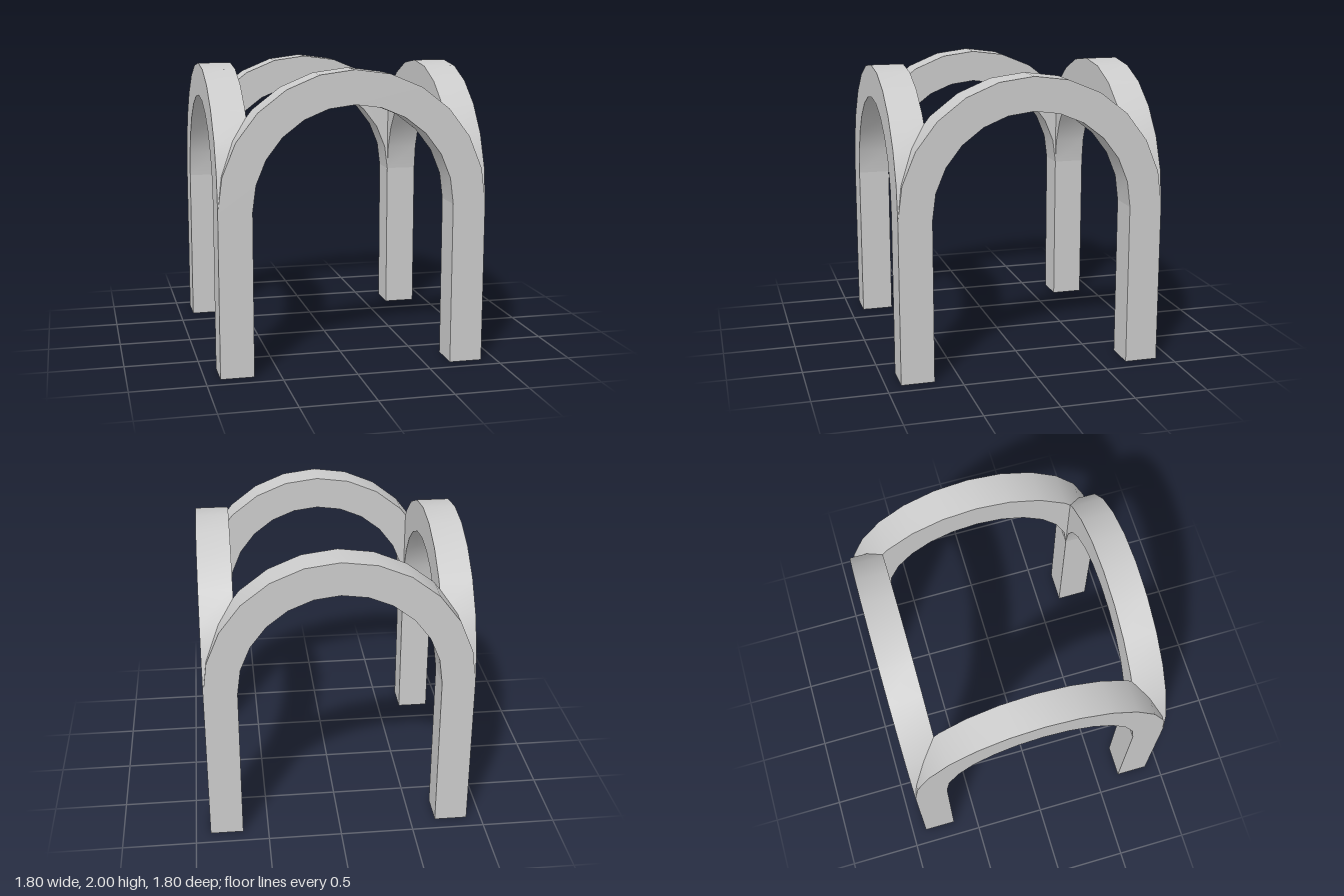
import * as THREE from 'three';
import { toCreasedNormals } from 'three/addons/utils/BufferGeometryUtils.js';

const OUTER = 0.9;      // half width and outer arch radius
const THICK = 0.225;    // thickness of the arches and posts
const SPRING = 1.1;     // height where the arches start

// Half ring of 12 facets, smooth along the curve and sharp at the rims
function archGeometry() {
  const ring = new THREE.Shape();
  ring.absarc(0, 0, OUTER, 0, Math.PI, false);
  ring.absarc(0, 0, OUTER - THICK, Math.PI, 0, true);
  ring.closePath();
  const geometry = new THREE.ExtrudeGeometry(ring, {
    depth: THICK, curveSegments: 6, bevelEnabled: false,
  });
  geometry.translate(0, SPRING, OUTER - THICK);
  return toCreasedNormals(geometry, 0.5);
}

export function createModel() {
  const model = new THREE.Group();
  model.name = 'arcadePavilion';
  const material = new THREE.MeshStandardMaterial({ color: 0xcccccc });

  const arch = archGeometry();
  const post = new THREE.BoxGeometry(THICK, SPRING, THICK);
  const offset = OUTER - THICK / 2;
  post.translate(offset, SPRING / 2, offset);

  // One arch and one corner post per side
  ['front', 'left', 'back', 'right'].forEach((side, i) => {
    const bay = new THREE.Group();
    bay.name = side + 'Bay';
    bay.rotation.y = i * Math.PI / 2;

    const archMesh = new THREE.Mesh(arch, material);
    archMesh.name = side + 'Arch';
    const postMesh = new THREE.Mesh(post, material);
    postMesh.name = side + 'CornerPost';

    bay.add(archMesh, postMesh);
    model.add(bay);
  });
  return model;
}
